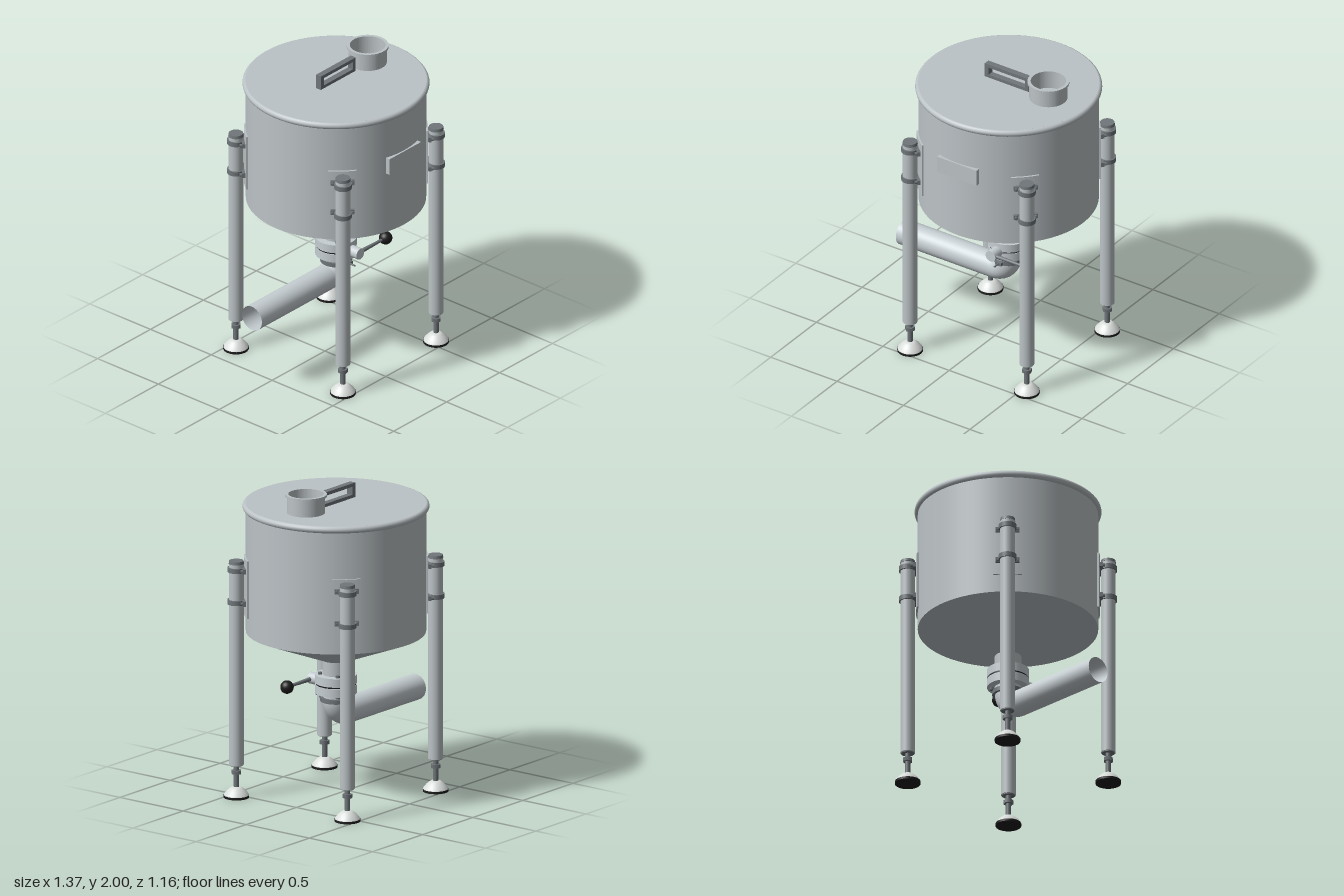
import * as THREE from 'three';

const mat = (name, color, side = THREE.FrontSide) => {
  const m = new THREE.MeshStandardMaterial({ color, side });
  m.name = name;
  return m;
};

export function createModel() {
  const steel = mat('brushed steel', 0xbcc3c6);
  const pipeSteel = mat('polished steel', 0xc6ced2, THREE.DoubleSide);
  const darkSteel = mat('dark steel', 0x70767a);
  const footWhite = mat('foot white', 0xdadedb);
  const black = mat('black rubber', 0x1c1c1d);

  const model = new THREE.Group();
  model.name = 'hopperTank';
  // everything is arranged around the tank axis
  const body = new THREE.Group();
  body.name = 'tankAssembly';
  body.position.x = 0.104;
  model.add(body);

  const add = (parent, name, geo, material, x = 0, y = 0, z = 0) => {
    const m = new THREE.Mesh(geo, material);
    m.name = name;
    m.position.set(x, y, z);
    parent.add(m);
    return m;
  };
  // upright cylinder or cone from y0 to y1
  const cyl = (parent, name, material, r0, r1, y0, y1, x = 0, z = 0, seg = 32, open = false) =>
    add(parent, name, new THREE.CylinderGeometry(r1, r0, y1 - y0, seg, 1, open), material, x, (y0 + y1) / 2, z);
  const box = (parent, name, material, w, h, d, x, y, z) =>
    add(parent, name, new THREE.BoxGeometry(w, h, d), material, x, y, z);
  // hollow ring with square edges
  const ring = (parent, name, material, ri, ro, y0, y1, x = 0, z = 0) => {
    const s = new THREE.Shape().absarc(0, 0, ro, 0, Math.PI * 2);
    s.holes.push(new THREE.Path().absarc(0, 0, ri, 0, Math.PI * 2, true));
    const g = new THREE.ExtrudeGeometry(s, { depth: y1 - y0, bevelEnabled: false, curveSegments: 40 });
    g.rotateX(-Math.PI / 2);
    return add(parent, name, g, material, x, y0, z);
  };

  // tank shell, cone and lid
  cyl(body, 'tankShell', steel, 0.56, 0.56, 1.055, 1.85, 0, 0, 96, true);
  cyl(body, 'tankCone', steel, 0.083, 0.56, 0.866, 1.055, 0, 0, 96, true);
  cyl(body, 'outletNeck', steel, 0.083, 0.083, 0.77, 0.87, 0, 0, 40, true);
  cyl(body, 'lid', steel, 0.562, 0.562, 1.84, 1.88, 0, 0, 96);
  const rim = new THREE.TorusGeometry(0.558, 0.0225, 14, 96).rotateX(Math.PI / 2);
  add(body, 'lidRim', rim, steel, 0, 1.858, 0);
  box(body, 'frontPlate', steel, 0.298, 0.11, 0.03, 0, 1.525, 0.555);

  // inlet collar on the lid
  ring(body, 'inletCollar', steel, 0.11, 0.119, 1.875, 1.99, 0.299);
  ring(body, 'inletLip', steel, 0.11, 0.13, 1.985, 2.0, 0.299);

  // lid handle: rectangular frame
  const frame = new THREE.Shape([[0, 0], [0.33, 0], [0.33, 0.095], [0, 0.095]].map(p => new THREE.Vector2(...p)));
  frame.holes.push(new THREE.Path([[0.03, 0.022], [0.03, 0.073], [0.305, 0.073], [0.305, 0.022]].map(p => new THREE.Vector2(...p))));
  add(body, 'lidHandle', new THREE.ExtrudeGeometry(frame, { depth: 0.04, bevelEnabled: false }), darkSteel, -0.167, 1.879, -0.02);

  // butterfly valve
  cyl(body, 'valveUpperFlange', pipeSteel, 0.13, 0.13, 0.72, 0.775, 0, 0, 48);
  cyl(body, 'valveGasket', black, 0.125, 0.125, 0.71, 0.72, 0, 0, 48);
  cyl(body, 'valveLowerFlange', pipeSteel, 0.13, 0.13, 0.655, 0.71, 0, 0, 48);
  for (let i = 0; i < 4; i++) {
    const a = Math.PI / 4 + i * Math.PI / 2;
    cyl(body, 'valveBolt', darkSteel, 0.014, 0.014, 0.64, 0.79, 0.1 * Math.cos(a), 0.1 * Math.sin(a), 6);
  }
  const stem = cyl(body, 'valveStem', pipeSteel, 0.037, 0.037, 0, 0.1, 0, 0, 28);
  stem.rotation.x = Math.PI / 2;
  stem.position.set(0, 0.715, 0.15);
  const lever = cyl(body, 'valveLever', darkSteel, 0.014, 0.009, 0, 0.24, 0, 0, 16);
  lever.rotation.z = -Math.PI / 2;
  lever.position.set(0.13, 0.715, 0.18);
  add(body, 'leverKnob', new THREE.SphereGeometry(0.042, 28, 18), black, 0.262, 0.715, 0.18);

  // pipe clamp below the valve
  cyl(body, 'lowerNeck', pipeSteel, 0.083, 0.083, 0.61, 0.66, 0, 0, 40, true);
  ring(body, 'pipeClamp', darkSteel, 0.08, 0.098, 0.602, 0.63);
  box(body, 'pipeClampLug', darkSteel, 0.046, 0.022, 0.03, 0, 0.617, 0.103);
  const clampBolt = cyl(body, 'pipeClampBolt', darkSteel, 0.006, 0.006, 0, 0.05, 0, 0, 10);
  clampBolt.rotation.x = Math.PI / 2;
  clampBolt.position.set(0, 0.617, 0.132);

  // elbow and open outlet pipe
  class Bend extends THREE.Curve {
    getPoint(t, target = new THREE.Vector3()) {
      const a = t * Math.PI / 2;
      return target.set(-0.1 + 0.1 * Math.cos(a), 0.617 - 0.1 * Math.sin(a), 0);
    }
  }
  add(body, 'elbow', new THREE.TubeGeometry(new Bend(), 20, 0.082, 40), pipeSteel);
  const outlet = new THREE.CylinderGeometry(0.082, 0.082, 0.694, 40, 1, true).rotateZ(Math.PI / 2);
  add(body, 'outletPipe', outlet, pipeSteel, -0.447, 0.517, 0);

  // four legs, each built along local +x and turned about the tank axis
  const R = 0.622;
  const padProfile = [[0.079, 0.014], [0.076, 0.022], [0.06, 0.042], [0.042, 0.058], [0.028, 0.067], [0, 0.07]]
    .map(p => new THREE.Vector2(...p));
  const arc = new THREE.Shape();
  arc.absarc(0, 0, 0.572, -0.158, 0.158, false);
  arc.absarc(0, 0, 0.557, 0.158, -0.158, true);
  for (let i = 0; i < 4; i++) {
    const leg = new THREE.Group();
    leg.name = 'leg';
    leg.rotation.y = Math.PI / 4 + i * Math.PI / 2;
    body.add(leg);

    cyl(leg, 'legTube', steel, 0.046, 0.046, 0.21, 1.51, R, 0, 32);
    cyl(leg, 'legCap', darkSteel, 0.048, 0.045, 1.505, 1.524, R, 0, 32);
    cyl(leg, 'legPlug', darkSteel, 0.04, 0.04, 0.205, 0.215, R, 0, 32);

    // adjustable foot
    cyl(leg, 'footRod', darkSteel, 0.017, 0.017, 0.06, 0.21, R, 0, 16);
    cyl(leg, 'footNut', darkSteel, 0.032, 0.032, 0.15, 0.174, R, 0, 6);
    add(leg, 'footPad', new THREE.LatheGeometry(padProfile, 32), footWhite, R);
    cyl(leg, 'footSole', black, 0.08, 0.08, 0, 0.015, R, 0, 32);

    // mounting plate curved to the shell
    const plate = new THREE.ExtrudeGeometry(arc, { depth: 0.37, bevelEnabled: false, curveSegments: 10 });
    add(leg, 'mountPlate', plate.rotateX(-Math.PI / 2), steel, 0, 1.17, 0);

    // two clamps with bolted ears
    for (const y of [1.26, 1.467]) {
      ring(leg, 'legClamp', darkSteel, 0.045, 0.055, y - 0.015, y + 0.015, R, 0);
      box(leg, 'clampEars', darkSteel, 0.02, 0.03, 0.15, 0.579, y, 0);
      for (const s of [-1, 1]) {
        const bolt = cyl(leg, 'clampBolt', darkSteel, 0.011, 0.011, 0, 0.016, 0, 0, 6);
        bolt.rotation.z = Math.PI / 2;
        bolt.position.set(0.595, y, s * 0.062);
      }
    }
  }
  return model;
}
